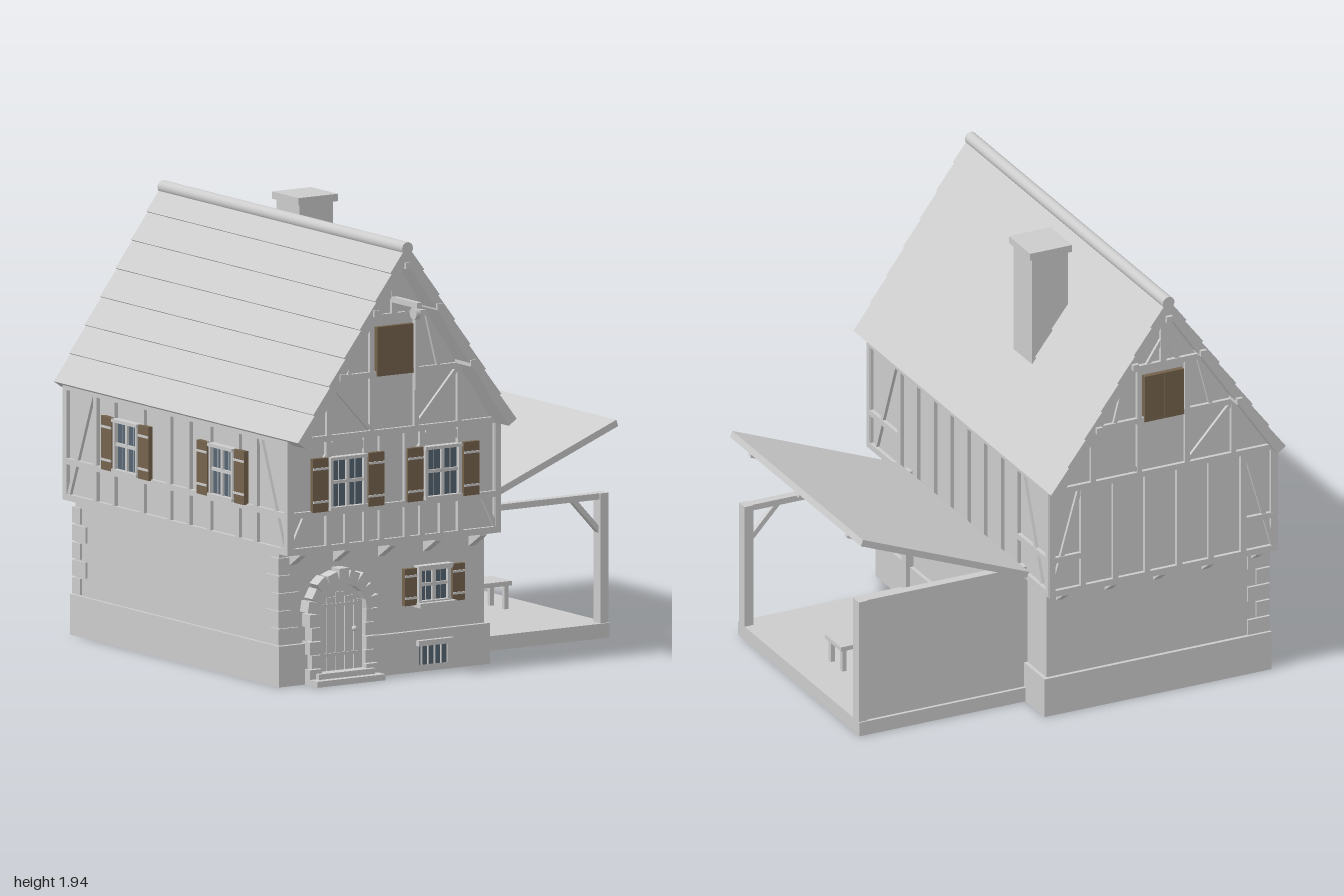
import * as THREE from 'three';

const mat = (name, color) => {
  const m = new THREE.MeshStandardMaterial({ color });
  m.name = name;
  return m;
};

export function createModel() {
  const stone = mat('pale grey', 0xcccccc);
  const wood = mat('shutter brown', 0x75634d);
  const glass = mat('window blue', 0x566673);
  const model = new THREE.Group();
  model.name = 'halfTimberedHouse';
  const CX = -0.4; // ridge line

  const add = (parent, name, geo, m, x = 0, y = 0, z = 0) => {
    const mesh = new THREE.Mesh(geo, m);
    mesh.name = name;
    mesh.position.set(x, y, z);
    parent.add(mesh);
    return mesh;
  };
  // box given by its ranges on each axis
  const box = (parent, name, x0, x1, y0, y1, z0, z1, m = stone) =>
    add(parent, name, new THREE.BoxGeometry(x1 - x0, y1 - y0, z1 - z0), m, (x0 + x1) / 2, (y0 + y1) / 2, (z0 + z1) / 2);
  const group = (name, x = 0, y = 0, z = 0, ry = 0, parent = model) => {
    const g = new THREE.Group();
    g.name = name;
    g.position.set(x, y, z);
    g.rotation.y = ry;
    parent.add(g);
    return g;
  };
  // timber lying on a facade between two points
  const beam = (g, x0, y0, x1, y1, w = 0.026, d = 0.034) => {
    const b = add(g, 'timber', new THREE.BoxGeometry(Math.hypot(x1 - x0, y1 - y0), w, d), stone, (x0 + x1) / 2, (y0 + y1) / 2, 0);
    b.rotation.z = Math.atan2(y1 - y0, x1 - x0);
    return b;
  };
  const extrude = (pts, depth) =>
    new THREE.ExtrudeGeometry(new THREE.Shape(pts.map(p => new THREE.Vector2(...p))), { depth, bevelEnabled: false });

  // ---- masonry and upper storey
  box(model, 'plinth', -0.945, 0.147, 0, 0.178, -0.887, 0.727);
  box(model, 'groundFloor', -0.93, 0.13, 0.178, 0.59, -0.87, 0.705);
  add(model, 'upperWalls', extrude([[-0.535, 0.585], [0.535, 0.585], [0.535, 1.08], [0, 1.86], [-0.535, 1.08]], 1.71), stone, CX, 0, -0.92);

  // ---- roof with stepped courses
  const along = (s, n) => [0.566 * s + 0.825 * n, 1.9 - 0.825 * s + 0.566 * n];
  const L = 0.985, half = [];
  for (let i = 0; i < 7; i++) half.push(along(i * L / 7, 0.001), along((i + 1) * L / 7, 0.009));
  half[0] = [0, 1.902];
  half.push(along(L, -0.04));
  const profile = [...half, [0, 1.9 - 0.0707], ...half.slice(1).reverse().map(([x, y]) => [-x, y])];
  add(model, 'roof', extrude(profile, 1.89), stone, CX, 0, -0.984);
  const ridge = add(model, 'ridgeCap', new THREE.CylinderGeometry(0.028, 0.028, 1.893, 20), stone, CX, 1.888, -0.039);
  ridge.rotation.x = Math.PI / 2;
  for (const [dx, y] of [[0, 1.815], [0.163, 1.62], [-0.163, 1.62], [0.337, 1.357], [-0.337, 1.357]])
    box(model, 'purlin', CX + dx - 0.014, CX + dx + 0.014, y - 0.014, y + 0.014, -1, 0.915);

  // ---- chimney
  box(model, 'chimney', -0.232, -0.058, 1.41, 1.91, -0.357, -0.18);
  box(model, 'chimneyCap', -0.246, -0.044, 1.908, 1.94, -0.37, -0.165);

  // ---- hoist
  box(model, 'hoistBeam', CX - 0.012, CX + 0.012, 1.64, 1.665, 0.78, 1);
  const pulley = add(model, 'hoistPulley', new THREE.CylinderGeometry(0.026, 0.026, 0.024, 20), stone, CX, 1.614, 0.968);
  pulley.rotation.z = Math.PI / 2;
  add(model, 'hoistRope', new THREE.CylinderGeometry(0.005, 0.005, 0.33, 8), stone, CX, 1.445, 0.968);

  // ---- window with shutters, centred on (x, y) and facing +z
  const windowUnit = (parent, x, y, z, w, h, shutterW) => {
    const g = group('window', x, y, z, 0, parent);
    const a = w / 2, b = h / 2, t = 0.014;
    box(g, 'glass', -a, a, -b, b, 0.006, 0.013, glass);
    for (const s of [-1, 1]) {
      box(g, 'frameSide', s * a - t / 2, s * a + t / 2, -b, b, 0, 0.03);
      box(g, 'frameRail', -a - 0.01, a + 0.01, s * b - t / 2, s * b + t / 2, 0, 0.036);
      box(g, 'fineBar', s * a / 2 - 0.0015, s * a / 2 + 0.0015, -b, b, 0.01, 0.015);
      const c = s * (a + 0.018 + shutterW / 2);
      box(g, 'shutter', c - shutterW / 2, c + shutterW / 2, -b - 0.008, b + 0.008, 0.008, 0.03, wood);
      for (const v of [-1, 1])
        box(g, 'shutterStrap', c - shutterW / 2, c + shutterW / 2, v * b * 0.66 - 0.005, v * b * 0.66 + 0.005, 0.028, 0.034);
    }
    box(g, 'mullion', -0.008, 0.008, -b, b, 0.01, 0.024);
    box(g, 'transom', -a, a, b * 0.05 - 0.007, b * 0.05 + 0.007, 0.01, 0.024);
  };

  // ---- timber facades
  const storey = (g, hw, studs) => {
    beam(g, -hw, 0.598, hw, 0.598, 0.028);
    beam(g, -hw, 1.078, hw, 1.078);
    for (const x of [-hw + 0.013, hw - 0.013, ...studs]) beam(g, x, 0.6, x, 1.08);
  };
  const gable = g => {
    beam(g, -0.36, 1.333, 0.36, 1.333);
    beam(g, -0.19, 1.58, 0.19, 1.58);
    beam(g, 0, 1.58, 0, 1.83);
    for (const s of [-1, 1]) {
      beam(g, s * 0.337, 1.09, s * 0.337, 1.35, 0.022);
      beam(g, s * 0.115, 1.09, s * 0.115, 1.58, 0.022);
      beam(g, s * 0.327, 1.32, s * 0.125, 1.1, 0.018, 0.028);
      beam(g, s * 0.17, 1.58, s * 0.23, 1.345, 0.018, 0.028);
      beam(g, 0, 1.7, s * 0.075, 1.585, 0.018, 0.028);
      box(g, 'loftDoorLeaf', s < 0 ? -0.094 : 0.001, s < 0 ? -0.001 : 0.094, 1.325, 1.54, 0, 0.024, wood);
    }
  };

  const front = group('frontFacade', CX, 0, 0.79);
  storey(front, 0.55, [-0.34, -0.145, -0.065, 0.065, 0.145, 0.34]);
  beam(front, -0.55, 0.755, 0.55, 0.755);
  gable(front);
  for (const s of [-1, 1]) {
    beam(front, s * 0.53, 0.605, s * 0.455, 0.755, 0.018, 0.028);
    beam(front, s * 0.355, 0.99, s * 0.3, 1.075, 0.018, 0.028);
    beam(front, s * 0.13, 0.99, s * 0.185, 1.075, 0.018, 0.028);
    beam(front, s * 0.245, 0.6, s * 0.245, 0.755, 0.022);
    windowUnit(front, s * 0.245, 0.88, 0, 0.172, 0.218, 0.08);
  }

  const back = group('backFacade', CX, 0, -0.92, Math.PI);
  storey(back, 0.55, [-0.385, -0.23, -0.077, 0.077, 0.23, 0.385]);
  gable(back);
  for (const s of [-1, 1]) {
    beam(back, s * 0.53, 0.61, s * 0.4, 1.07, 0.02, 0.028);
    beam(back, s * 0.54, 0.755, s * 0.385, 0.755);
  }

  const sideStuds = [-0.56, -0.4, -0.24, -0.08, 0.08, 0.24, 0.4, 0.56];
  const right = group('rightFacade', 0.135, 0, -0.065, Math.PI / 2);
  storey(right, 0.87, sideStuds);
  const left = group('leftFacade', -0.935, 0, -0.065, -Math.PI / 2);
  storey(left, 0.87, [-0.62, -0.48, -0.255, -0.05, 0.1, 0.26, 0.48, 0.62]);
  beam(left, -0.87, 0.755, 0.87, 0.755);
  for (const s of [-1, 1]) {
    beam(right, s * 0.79, 0.62, s * 0.61, 1.07, 0.02, 0.028);
    beam(right, s * 0.86, 0.755, s * 0.56, 0.755);
    beam(left, s * 0.83, 0.61, s * 0.65, 1.07, 0.02, 0.028);
    windowUnit(left, s * 0.37, 0.88, 0, 0.172, 0.218, 0.08);
  }

  // ---- jetty brackets
  for (let i = -2; i <= 2; i++) {
    const x = CX + i * 0.233;
    const f = add(model, 'frontBracket', extrude([[0, 0.59], [0, 0.515], [-0.095, 0.575], [-0.095, 0.59]], 0.034), stone, x + 0.017, 0, 0.7);
    f.rotation.y = Math.PI / 2;
    f.position.x = x - 0.017;
    const k = add(model, 'backBracket', extrude([[0, 0.59], [0, 0.53], [0.06, 0.575], [0.06, 0.59]], 0.034), stone, x - 0.017, 0, -0.867);
    k.rotation.y = Math.PI / 2;
  }

  // ---- corner stones on the left corners
  for (let i = 0; i < 5; i++) {
    const y = 0.182 + i * 0.077, long = i % 2 === 0, a = long ? 0.105 : 0.065, b = long ? 0.065 : 0.105;
    box(model, 'frontQuoin', -0.94, -0.94 + a, y, y + 0.07, 0.718 - b, 0.718);
    box(model, 'backQuoin', -0.94, -0.94 + a, y, y + 0.07, -0.882, -0.882 + b);
  }

  // ---- arched door
  const door = group('door', -0.634, 0, 0.7);
  const leaf = new THREE.Shape();
  leaf.moveTo(-0.118, 0.05);
  leaf.lineTo(0.118, 0.05);
  leaf.lineTo(0.118, 0.31);
  leaf.absarc(0, 0.31, 0.118, 0, Math.PI);
  add(door, 'doorLeaf', new THREE.ExtrudeGeometry(leaf, { depth: 0.03, bevelEnabled: false, curveSegments: 16 }), stone);
  for (let i = -2; i <= 2; i++) box(door, 'doorPlank', i * 0.046 - 0.021, i * 0.046 + 0.021, 0.05, 0.39 - Math.abs(i) * 0.02, 0.03, 0.036);
  for (const y of [0.12, 0.335]) box(door, 'doorStrap', -0.105, 0.09, y - 0.007, y + 0.007, 0.034, 0.041);
  add(door, 'doorKnob', new THREE.SphereGeometry(0.012, 12, 8), stone, 0.068, 0.225, 0.045);
  for (const s of [-1, 1]) for (let i = 0; i < 5; i++) {
    const w = i % 2 ? 0.048 : 0.062;
    const x0 = s < 0 ? -0.114 - w : 0.114;
    box(door, 'jambStone', x0, x0 + w, 0.012 + i * 0.06, 0.068 + i * 0.06, 0, i % 2 ? 0.062 : 0.068);
  }
  for (let i = 0; i < 9; i++) {
    const t = Math.PI * (i + 0.5) / 9, r = i % 2 ? 0.146 : 0.151;
    const v = add(door, 'archStone', new THREE.BoxGeometry(i % 2 ? 0.06 : 0.07, 0.05, 0.068), stone, Math.cos(t) * r, 0.31 + Math.sin(t) * r, 0.033);
    v.rotation.z = t;
  }
  box(door, 'lowerStep', -0.176, 0.176, 0, 0.026, 0, 0.125);
  box(door, 'upperStep', -0.145, 0.145, 0.026, 0.05, 0, 0.09);

  // ---- ground floor and cellar windows
  windowUnit(model, -0.143, 0.374, 0.705, 0.15, 0.145, 0.062);
  box(model, 'windowSill', -0.238, -0.048, 0.282, 0.302, 0.7, 0.765);
  box(model, 'windowLintel', -0.232, -0.055, 0.445, 0.462, 0.7, 0.745);
  box(model, 'cellarGlass', -0.22, -0.07, 0.03, 0.115, 0.724, 0.731, glass);
  box(model, 'cellarLintel', -0.235, -0.053, 0.114, 0.138, 0.72, 0.75);
  for (let i = 0; i < 5; i++) box(model, 'cellarBar', -0.214 + i * 0.0335, -0.21 + i * 0.0335, 0.03, 0.115, 0.73, 0.738);

  // ---- open shed
  const shed = group('shed');
  box(shed, 'shedFloor', 0.13, 0.945, 0, 0.064, -0.705, 0.458);
  box(shed, 'shedBackWall', 0.13, 0.93, 0.06, 0.625, -0.69, -0.66);
  for (const [z0, z1] of [[0.395, 0.448], [-0.697, -0.642]]) {
    box(shed, 'shedPost', 0.903, 0.945, 0.06, 0.63, z0, z1);
    box(shed, 'shedBeam', 0.13, 0.945, 0.603, 0.63, z0 + 0.006, z1 - 0.006);
    const braces = group('shedBraces', 0, 0, (z0 + z1) / 2, 0, shed);
    beam(braces, 0.15, 0.465, 0.3, 0.61, 0.022, 0.028);
    beam(braces, 0.775, 0.61, 0.91, 0.465, 0.022, 0.028);
  }
  box(shed, 'innerPost', 0.13, 0.165, 0.06, 0.63, 0.4, 0.443);
  const sheet = [[0.155, 0.635], [0.168, 0.609], [0.965, 0.925], [0.955, 0.953]];
  add(shed, 'shedRoof', extrude(sheet, 1.25), stone, 0, 0, -0.756);
  for (const z of [0.34, -0.12, -0.58])
    add(shed, 'shedRafter', extrude([[0.15, 0.604], [0.16, 0.58], [0.95, 0.893], [0.942, 0.918]], 0.022), stone, 0, 0, z - 0.011);

  // ---- cart wheel
  const wheel = group('cartWheel', 0.386, 0.118, -0.055, 0, shed);
  add(wheel, 'rim', new THREE.TorusGeometry(0.094, 0.01, 8, 32), stone);
  const hub = add(wheel, 'hub', new THREE.CylinderGeometry(0.02, 0.02, 0.035, 16), stone);
  hub.rotation.x = Math.PI / 2;
  for (let i = 0; i < 10; i++) {
    const t = i * Math.PI / 5;
    beam(wheel, 0, 0, Math.cos(t) * 0.09, Math.sin(t) * 0.09, 0.008, 0.01);
  }

  // ---- bench
  box(shed, 'benchSeat', 0.49, 0.79, 0.167, 0.187, -0.218, -0.065);
  for (const x of [0.507, 0.757]) for (const z of [-0.205, -0.095])
    box(shed, 'benchLeg', x, x + 0.02, 0.06, 0.17, z, z + 0.02);

  return model;
}
